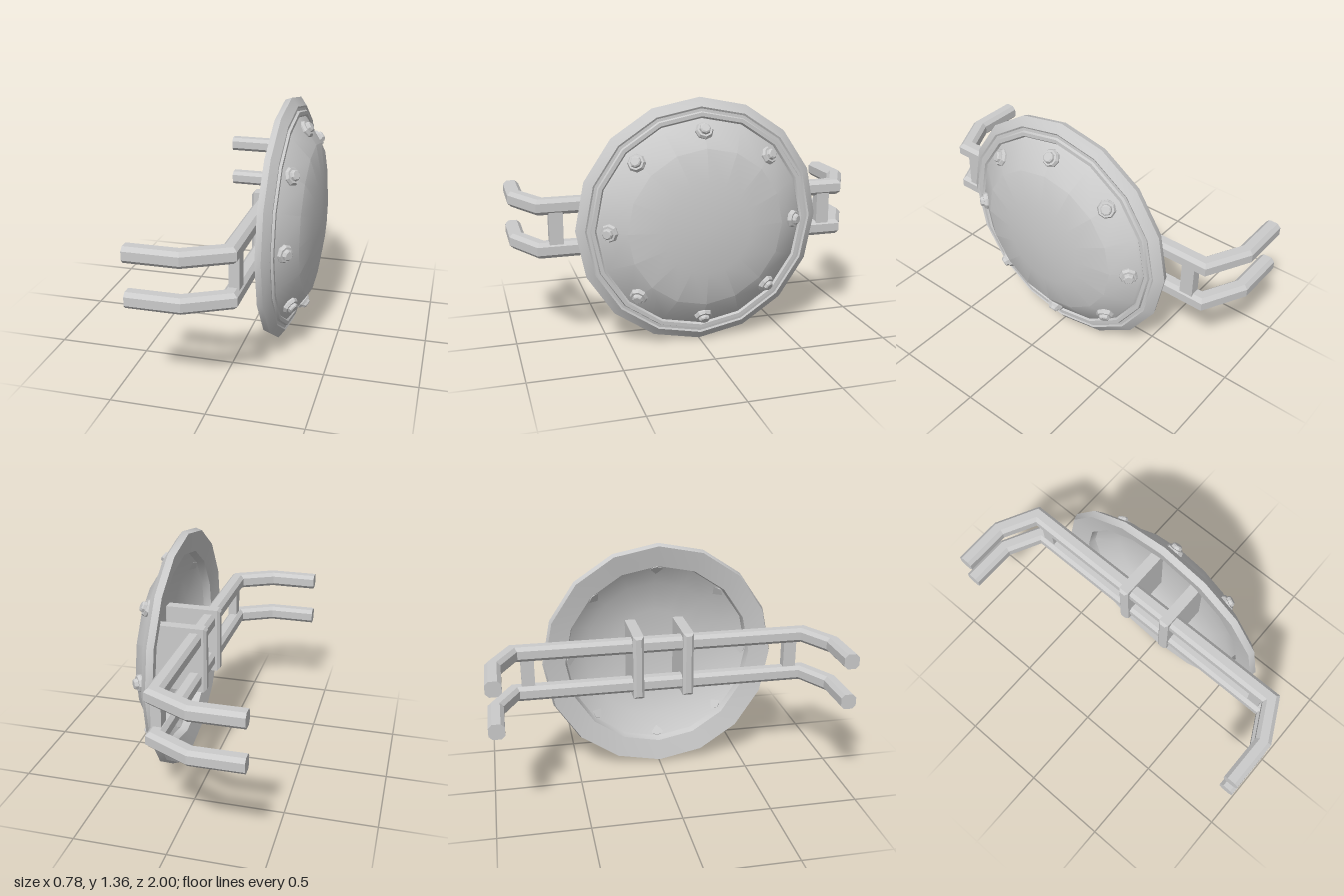
import * as THREE from 'three';
import { toCreasedNormals } from 'three/addons/utils/BufferGeometryUtils.js';

const material = new THREE.MeshStandardMaterial({ color: 0xcccccc });
const CY = 0.682; // height of the disc centre

function part(name, geometry, x = 0, y = 0, z = 0) {
  const mesh = new THREE.Mesh(geometry, material);
  mesh.name = name;
  mesh.position.set(x, y, z);
  return mesh;
}

// Lathe turned about the x axis; profile is [radius, x]
function turned(profile, sides, crease) {
  const g = new THREE.LatheGeometry(profile.map(([r, x]) => new THREE.Vector2(r, x)), sides);
  g.rotateZ(-Math.PI / 2);
  return toCreasedNormals(g, crease);
}

// Chamfered bar with mitred corners along a flat path of [x, z]
function barGeometry(path, half, chamfer) {
  const k = half - chamfer;
  const section = [[half, -k], [half, k], [k, half], [-k, half], [-half, k], [-half, -k], [-k, -half], [k, -half]];
  const n = section.length;
  const pts = path.map(([x, z]) => new THREE.Vector2(x, z));
  const last = pts.length - 1;
  const positions = [];
  const index = [];
  const side = (a, b) => { // unit vector across a path segment
    const d = b.clone().sub(a).normalize();
    return new THREE.Vector2(-d.y, d.x);
  };
  pts.forEach((p, i) => {
    const before = side(pts[Math.max(i - 1, 0)], pts[Math.max(i, 1)]);
    const after = side(pts[Math.min(i, last - 1)], pts[Math.min(i + 1, last)]);
    const miter = before.clone().add(after).normalize();
    miter.divideScalar(miter.dot(before));
    for (const [u, v] of section) positions.push(p.x + miter.x * u, v, p.y + miter.y * u);
  });
  for (let i = 0; i < last; i++) {
    for (let j = 0; j < n; j++) {
      const a = i * n + j, b = i * n + (j + 1) % n;
      index.push(a, a + n, b, b, a + n, b + n);
    }
  }
  // End caps
  const e = last * n;
  for (let j = 1; j < n - 1; j++) index.push(0, j, j + 1, e, e + j + 1, e + j);
  const g = new THREE.BufferGeometry();
  g.setAttribute('position', new THREE.Float32BufferAttribute(positions, 3));
  g.setIndex(index);
  return toCreasedNormals(g, 0.3);
}

// Upright plate with chamfered edges, running along x
function plateGeometry(width, height, length, bevel) {
  const w = width / 2, h = height / 2;
  const shape = new THREE.Shape([
    new THREE.Vector2(-w, -h), new THREE.Vector2(w, -h),
    new THREE.Vector2(w, h), new THREE.Vector2(-w, h),
  ]);
  const g = new THREE.ExtrudeGeometry(shape, {
    depth: length - 2 * bevel, bevelEnabled: true, bevelThickness: bevel,
    bevelSize: bevel, bevelOffset: -bevel, bevelSegments: 1,
  });
  g.translate(0, 0, bevel);
  g.rotateY(Math.PI / 2);
  return g;
}

export function createModel() {
  const model = new THREE.Group();
  model.name = 'mountedDisc';

  // Hollow domed disc with a stepped rim: inside, rim, then outer dome
  const disc = turned([
    [0, 0.358], [0.24, 0.345], [0.42, 0.31], [0.54, 0.235], [0.55, 0.19],
    [0.67, 0.165], [0.682, 0.2], [0.635, 0.235], [0.625, 0.23], [0.61, 0.232],
    [0.605, 0.245], [0.585, 0.246], [0.575, 0.236], [0.565, 0.246],
    [0.43, 0.34], [0.24, 0.375], [0, 0.389],
  ], 16, 0.45);
  model.add(part('domedDisc', disc, 0, CY, 0));

  // Ring of bolts, tilted to follow the dome
  const bolt = turned([
    [0, -0.03], [0.046, -0.03], [0.05, 0.002], [0.042, 0.016],
    [0.031, 0.016], [0.029, 0.03], [0.022, 0.036], [0, 0.036],
  ], 8, 0.4);
  const bolts = new THREE.Group();
  bolts.name = 'bolts';
  bolts.position.y = CY;
  for (let i = 0; i < 8; i++) {
    const arm = new THREE.Group();
    arm.name = 'boltArm';
    arm.rotation.x = (i * Math.PI) / 4;
    const mesh = part('bolt', bolt, 0.284, 0.515, 0);
    mesh.rotation.z = 0.65;
    arm.add(mesh);
    bolts.add(arm);
  }
  model.add(bolts);

  // Upper and lower bent rails
  const half = [[-0.395, 0.957], [-0.12, 0.957], [0.092, 0.848]];
  const path = [...half, ...half.map(([x, z]) => [x, -z]).reverse()];
  const rail = barGeometry(path, 0.043, 0.02);
  model.add(part('upperRail', rail, 0, CY + 0.121, 0));
  model.add(part('lowerRail', rail, 0, CY - 0.117, 0));

  // Struts between the rails and brackets holding the disc
  const strut = new THREE.BoxGeometry(0.055, 0.2, 0.075);
  const bracket = plateGeometry(0.062, 0.38, 0.335, 0.015);
  for (const s of [1, -1]) {
    model.add(part('strut', strut, 0.1, CY, s * 0.77));
    model.add(part('bracket', bracket, 0.022, CY, s * 0.145));
  }
  return model;
}
